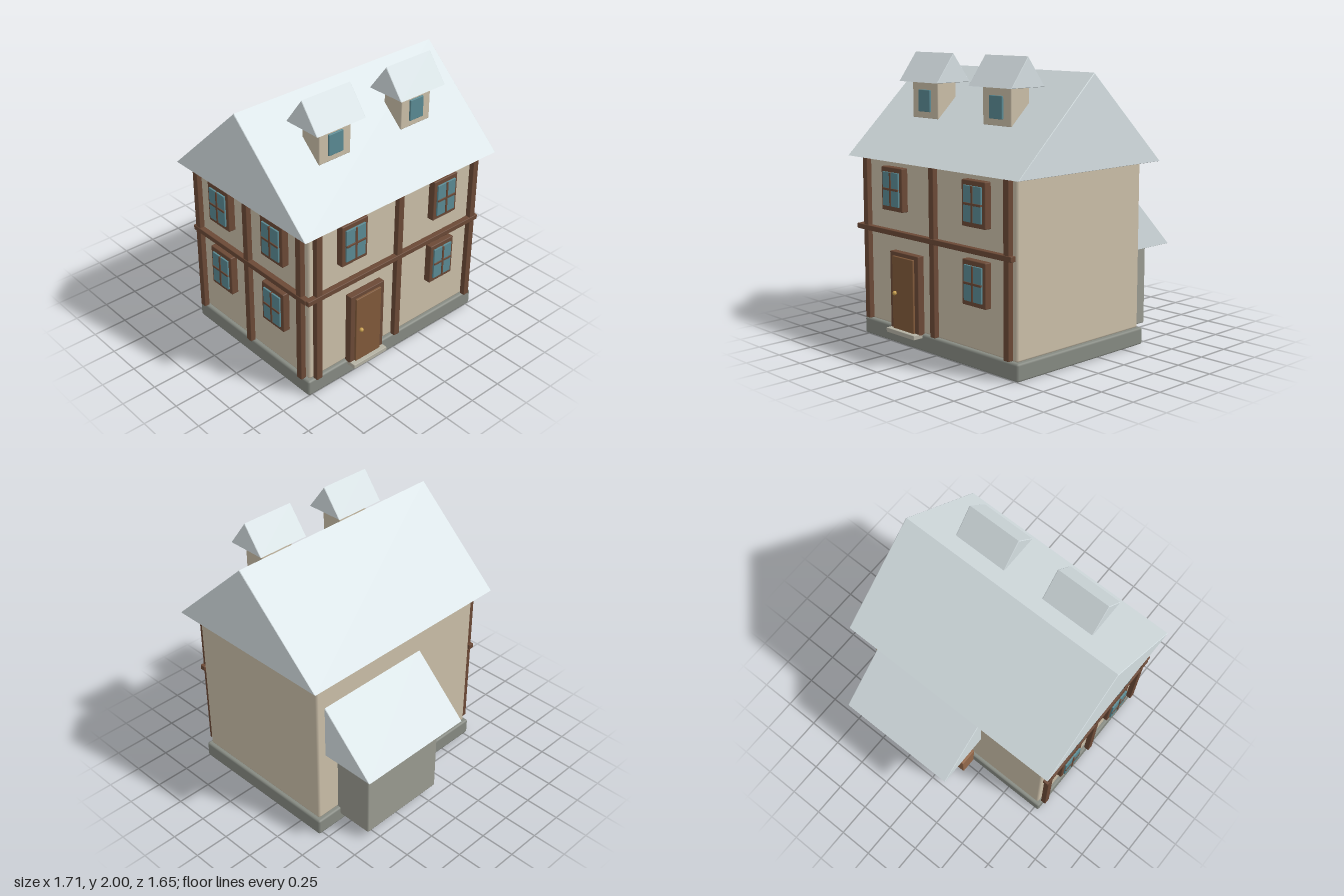
import * as THREE from 'three';
import { RoundedBoxGeometry } from 'three/addons/geometries/RoundedBoxGeometry.js';

const mat = (color) => new THREE.MeshStandardMaterial({ color });
const M = {
  plaster: mat(0xcabea8), roof: mat(0xd6e0e3), stone: mat(0x868a82), shed: mat(0x999a90),
  timber: mat(0x6b4936), door: mat(0x80593a), glass: mat(0x5a8a93), brass: mat(0xc9a04e),
  wood: mat(0x94694a), sill: mat(0xb5b2a4),
};

// Box given by its two extreme corners, with a small bevel
function box(parent, name, material, [x0, x1], [y0, y1], [z0, z1], bevel = 0.004) {
  const g = new RoundedBoxGeometry(x1 - x0, y1 - y0, z1 - z0, 1, bevel);
  const m = new THREE.Mesh(g, material);
  m.position.set((x0 + x1) / 2, (y0 + y1) / 2, (z0 + z1) / 2);
  m.name = name;
  parent.add(m);
  return m;
}

// Gabled prism with its ridge along x
function gable(parent, name, [x0, x1], [y0, y1], [z0, z1]) {
  const b = 0.004;
  const s = new THREE.Shape();
  s.moveTo(z0, y0);
  s.lineTo(z1, y0);
  s.lineTo((z0 + z1) / 2, y1);
  s.closePath();
  const g = new THREE.ExtrudeGeometry(s, {
    depth: x1 - x0 - 2 * b, bevelEnabled: true, bevelSize: b, bevelThickness: b, bevelOffset: -b, bevelSegments: 1,
  });
  g.rotateY(-Math.PI / 2).translate(x1 - b, 0, 0);
  const m = new THREE.Mesh(g, M.roof);
  m.name = name;
  parent.add(m);
}

// Four-pane window on a wall whose outward direction is local +z
function windowUnit(wall, u, y) {
  const w = new THREE.Group();
  w.name = 'window';
  w.position.set(u, y, 0);
  box(w, 'windowFrame', M.timber, [-0.11, 0.11], [-0.15, 0.15], [-0.005, 0.05], 0.006);
  box(w, 'windowGlass', M.glass, [-0.083, 0.083], [-0.117, 0.117], [0.04, 0.062], 0.002);
  box(w, 'verticalBar', M.timber, [-0.008, 0.008], [-0.117, 0.117], [0.045, 0.067], 0.002);
  box(w, 'crossBar', M.timber, [-0.083, 0.083], [-0.008, 0.008], [0.045, 0.067], 0.002);
  wall.add(w);
}

// Timber framing: posts plus one rail at floor height
function framing(wall, posts, rail) {
  for (const u of posts) box(wall, 'post', M.timber, [u - 0.024, u + 0.024], [0.13, 1.28], [0.01, 0.05]);
  box(wall, 'rail', M.timber, rail, [0.765, 0.802], [0.012, 0.054]);
}

export function createModel() {
  const house = new THREE.Group();
  house.name = 'house';

  // Main volume
  box(house, 'foundation', M.stone, [-0.785, 0.785], [0, 0.12], [-0.445, 0.757], 0.015);
  box(house, 'walls', M.plaster, [-0.76, 0.76], [0.118, 1.285], [-0.42, 0.735], 0.015);
  gable(house, 'mainRoof', [-0.858, 0.856], [1.28, 1.9], [-0.51, 0.82]);

  // Front wall
  const front = new THREE.Group();
  front.name = 'frontWall';
  front.position.z = 0.735;
  framing(front, [-0.713, -0.003, 0.708], [-0.81, 0.757]);
  for (const [u, y] of [[-0.415, 1.085], [0.412, 1.085], [0.412, 0.572]]) windowUnit(front, u, y);
  house.add(front);

  // Entrance
  box(front, 'doorFrame', M.timber, [-0.443, -0.143], [0.11, 0.658], [0, 0.052]);
  box(front, 'door', M.door, [-0.405, -0.182], [0.12, 0.63], [0.03, 0.066]);
  box(front, 'doorStep', M.sill, [-0.443, -0.143], [0.09, 0.122], [0.01, 0.095]);
  const knob = new THREE.Mesh(new THREE.SphereGeometry(0.015, 16, 12), M.brass);
  knob.position.set(-0.368, 0.375, 0.077);
  knob.name = 'doorKnob';
  front.add(knob);

  // Timbered side wall, local x runs along the depth of the house
  const side = new THREE.Group();
  side.name = 'sideWall';
  side.position.x = -0.762;
  side.rotation.y = -Math.PI / 2;
  framing(side, [-0.375, 0.157, 0.69], [-0.42, 0.76]);
  for (const u of [-0.122, 0.43]) for (const y of [1.085, 0.572]) windowUnit(side, u, y);
  house.add(side);

  // Dormers
  for (const x of [-0.358, 0.356]) {
    const d = new THREE.Group();
    d.name = 'dormer';
    d.position.x = x;
    box(d, 'dormerWalls', M.plaster, [-0.132, 0.132], [1.555, 1.806], [0.365, 0.527], 0.006);
    box(d, 'dormerWindow', M.glass, [-0.06, 0.06], [1.6, 1.75], [0.51, 0.54]);
    gable(d, 'dormerRoof', [-0.202, 0.202], [1.803, 2.0], [0.295, 0.59]);
    house.add(d);
  }

  // Rear lean-to, partly sunk into the back wall
  box(house, 'rearExtension', M.shed, [-0.105, 0.58], [0.06, 0.65], [-0.71, -0.4], 0.01);
  gable(house, 'rearRoof', [-0.22, 0.692], [0.645, 1.055], [-0.825, 0.015]);

  // Wooden blocks under the extension
  for (const x of [0.26, -0.073]) {
    box(house, 'woodenBlock', M.wood, [x - 0.083, x + 0.083], [0.005, 0.215], [-0.565, -0.43], 0.006);
  }
  return house;
}
